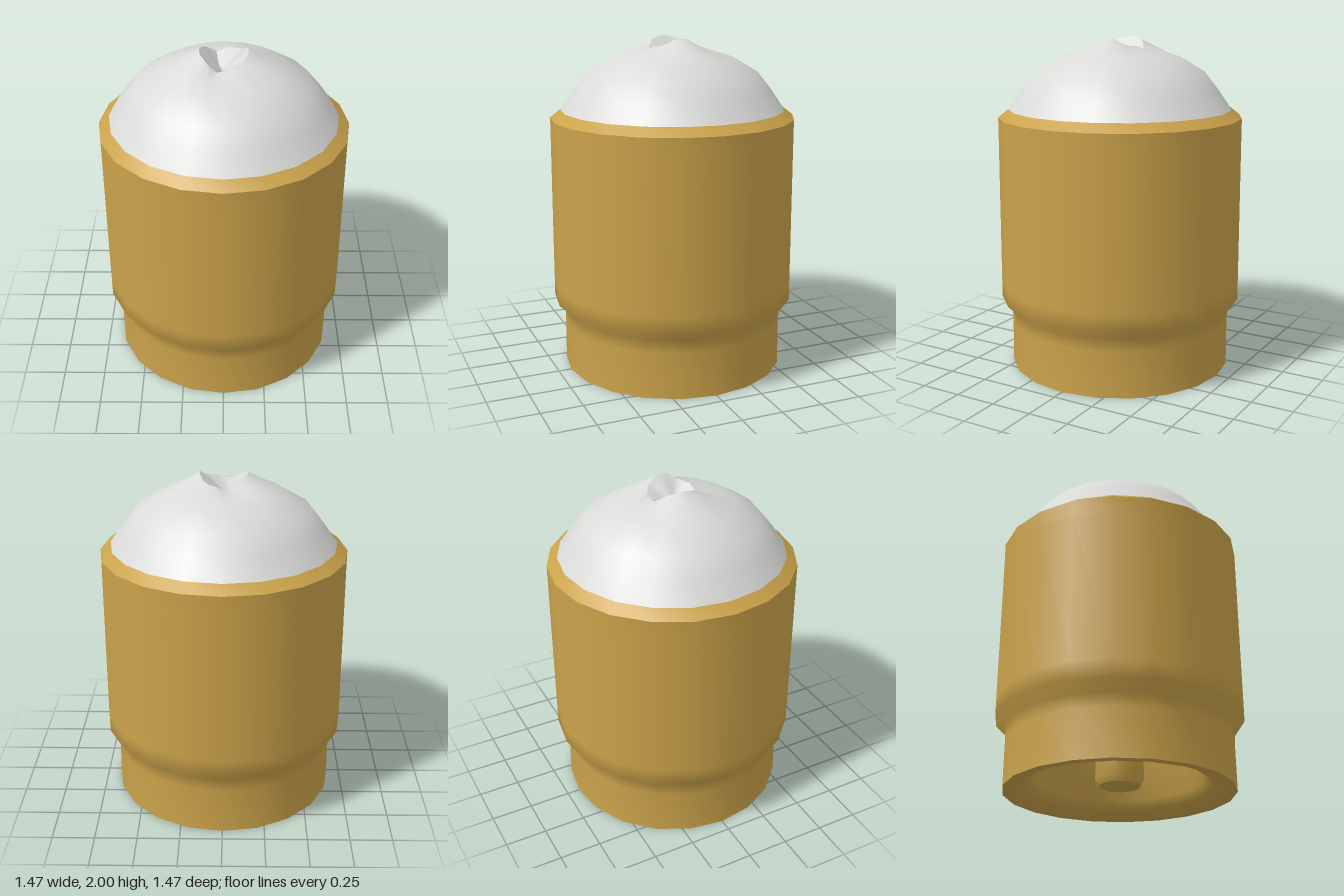
import * as THREE from 'three';
import { toCreasedNormals, mergeVertices } from 'three/addons/utils/BufferGeometryUtils.js';

const SIDES = 20;

// Revolve a profile of [radius, height] pairs
function lathe(profile) {
  return new THREE.LatheGeometry(profile.map(([r, y]) => new THREE.Vector2(r, y)), SIDES);
}

function part(name, geometry, material) {
  const mesh = new THREE.Mesh(geometry, material);
  mesh.name = name;
  return mesh;
}

export function createModel() {
  const model = new THREE.Group();
  model.name = 'cartridge';
  const brass = new THREE.MeshStandardMaterial({ color: 0xcaa24a });
  brass.name = 'brass';
  const paleGrey = new THREE.MeshStandardMaterial({ color: 0xdadad8, side: THREE.DoubleSide });
  paleGrey.name = 'pale grey';

  // Hanging centre post and hollow underside
  const base = lathe([
    [0, 0.06], [0.08, 0.04], [0.12, 0.04], [0.14, 0.08], [0.14, 0.38],
    [0.47, 0.38], [0.49, 0.34], [0.49, 0.09], [0.53, 0.04], [0.62, 0], [0.672, 0],
  ]);
  model.add(part('hollowBase', toCreasedNormals(base, 0.9), brass));

  // Foot, stepped collar, wall and rounded shoulder
  const shell = lathe([
    [0.672, 0], [0.67, 0.28], [0.675, 0.36], [0.733, 0.42], [0.733, 0.52],
    [0.73, 1.42], [0.73, 1.53], [0.668, 1.578],
  ]);
  model.add(part('casing', toCreasedNormals(shell, 0.9), brass));

  // Domed tip whose crown is folded into a puckered pit
  const dome = lathe([
    [0.668, 1.578], [0.59, 1.69], [0.51, 1.79], [0.36, 1.88],
    [0.25, 1.94], [0.14, 2], [0.05, 1.92], [0, 1.87],
  ]);
  const p = dome.attributes.position;
  for (let i = 0; i < p.count; i++) {
    const x = p.getX(i), y = p.getY(i), z = p.getZ(i);
    const r = Math.hypot(x, z);
    if (r > 0.4) continue;
    const a = Math.atan2(z, x);
    const pucker = Math.max(0, 1 - Math.abs(r - 0.14) / 0.22);
    // Crown is highest at the two sides and sinks towards front and back
    const sink = 0.055 * Math.sin(a) ** 2 + 0.012 * (1 - Math.cos(5 * a)) * Math.abs(Math.sin(a));
    p.setXYZ(i, x - 0.02 * pucker * (r < 0.1 ? 1 : 0), y - sink * pucker, z);
  }
  dome.deleteAttribute('uv');
  dome.deleteAttribute('normal');
  model.add(part('domedTip', toCreasedNormals(mergeVertices(dome, 1e-4), 0.7), paleGrey));

  return model;
}
